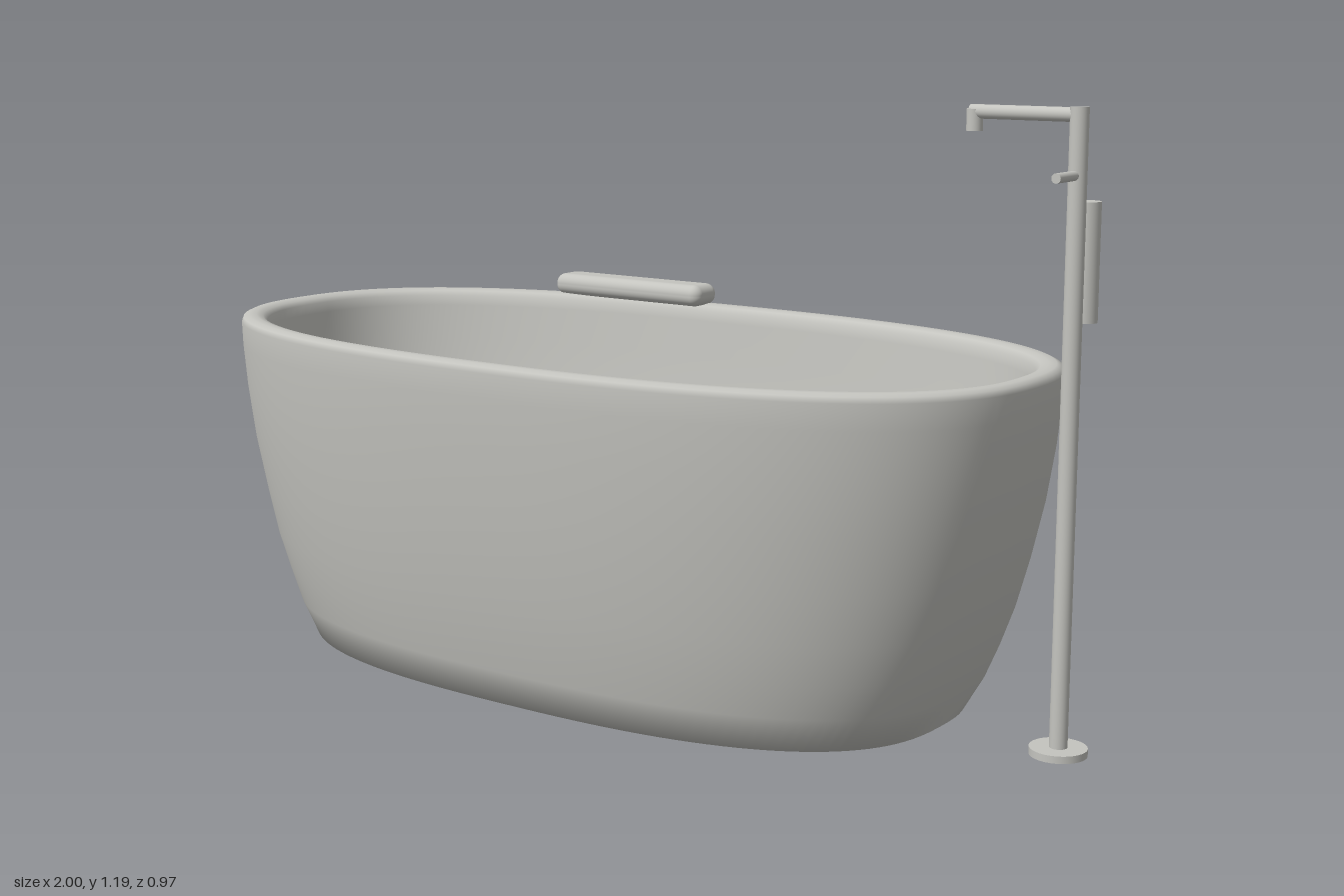
import * as THREE from 'three';
import { RoundedBoxGeometry } from 'three/addons/geometries/RoundedBoxGeometry.js';

const grey = new THREE.MeshStandardMaterial({ color: 0xc4c4bf });
grey.name = 'warm grey';

// Closed smooth skin through superellipse rings: [y, half length, half width, exponent]
function ringSkin(rings, segments) {
  const pos = [], index = [];
  for (const [y, a, b, n] of rings) {
    for (let j = 0; j < segments; j++) {
      const t = (j / segments) * Math.PI * 2;
      const c = Math.cos(t), s = Math.sin(t);
      pos.push(
        a * Math.sign(c) * Math.pow(Math.abs(c), 2 / n), y,
        b * Math.sign(s) * Math.pow(Math.abs(s), 2 / n)
      );
    }
  }
  for (let i = 0; i < rings.length - 1; i++) {
    for (let j = 0; j < segments; j++) {
      const k = (j + 1) % segments;
      const a = i * segments + j, b = i * segments + k;
      const c = a + segments, d = b + segments;
      index.push(a, c, b, b, c, d);
    }
  }
  // Close the underside and the inner floor with strips running front to back
  const last = (rings.length - 1) * segments;
  for (let j = 0; j < segments / 2; j++) {
    const k = j + 1, mj = (segments - j) % segments, mk = segments - k;
    index.push(j, k, mk, j, mk, mj);
    index.push(last + j, last + mk, last + k, last + j, last + mj, last + mk);
  }
  const geo = new THREE.BufferGeometry();
  geo.setAttribute('position', new THREE.Float32BufferAttribute(pos, 3));
  geo.setIndex(index);
  geo.computeVertexNormals();
  return geo;
}

export function createModel() {
  const model = new THREE.Group();
  model.name = 'freestandingBath';

  const add = (name, geo, x, y, z, parent = model) => {
    const mesh = new THREE.Mesh(geo, grey);
    mesh.name = name;
    mesh.position.set(x, y, z);
    parent.add(mesh);
    return mesh;
  };
  const rod = (r, h) => new THREE.CylinderGeometry(r, r, h, 32);

  // Tub: outer wall, rolled rim, inner wall and floor
  const rings = [
    [0, 0.755, 0.388, 2.6],
    [0.07, 0.796, 0.405, 2.6],
    [0.14, 0.827, 0.421, 2.55],
    [0.22, 0.856, 0.436, 2.55],
    [0.32, 0.885, 0.452, 2.5],
    [0.43, 0.91, 0.466, 2.5],
    [0.54, 0.928, 0.477, 2.48],
    [0.63, 0.938, 0.484, 2.46],
    [0.68, 0.94, 0.485, 2.46],
    [0.691, 0.936, 0.481, 2.46],
    [0.696, 0.925, 0.47, 2.46],
    [0.696, 0.91, 0.455, 2.45],
    [0.692, 0.896, 0.441, 2.45],
    [0.682, 0.887, 0.432, 2.45],
    [0.66, 0.882, 0.428, 2.45],
    [0.58, 0.87, 0.421, 2.45],
    [0.48, 0.847, 0.408, 2.45],
    [0.38, 0.817, 0.392, 2.5],
    [0.29, 0.779, 0.374, 2.5],
    [0.22, 0.74, 0.355, 2.55],
    [0.175, 0.7, 0.336, 2.6],
    [0.15, 0.655, 0.315, 2.6],
  ];
  add('tub', ringSkin(rings, 128), -0.06, 0, 0);
  add('drain', rod(0.03, 0.03), 0.45, 0.155, 0);

  // Headrest cushion on the back rim
  add('headrest', new RoundedBoxGeometry(0.41, 0.048, 0.085, 5, 0.022), -0.362, 0.716, -0.443);

  // Floor-standing tap
  const tap = new THREE.Group();
  tap.name = 'floorTap';
  tap.position.set(0.945, 0, 0.004);
  model.add(tap);
  add('tapFoot', rod(0.054, 0.014), 0, 0.007, 0, tap);
  add('tapColumn', rod(0.017, 1.18), 0, 0.597, 0, tap);
  add('spout', rod(0.013, 0.21), -0.108, 1.173, 0, tap).rotation.z = Math.PI / 2;
  add('spoutNozzle', rod(0.015, 0.04), -0.206, 1.158, 0, tap);
  add('lever', rod(0.009, 0.086), 0, 1.067, 0.043, tap).rotation.x = Math.PI / 2;
  add('handShower', rod(0.024, 0.218), 0, 0.909, -0.047, tap);

  return model;
}
